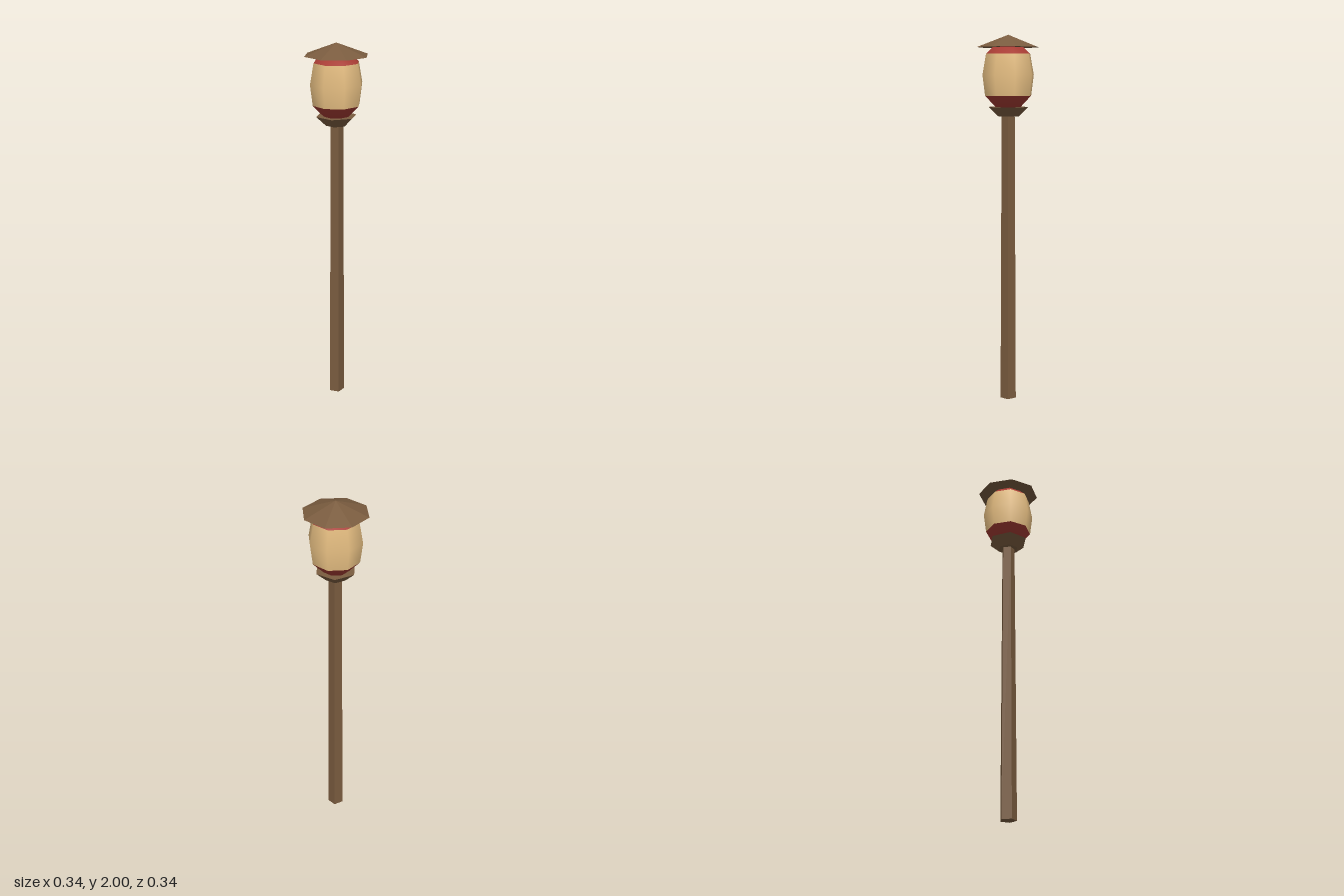
import * as THREE from 'three';

const wood = new THREE.MeshStandardMaterial({ color: 0x7a5c3f, flatShading: true });
const paper = new THREE.MeshStandardMaterial({ color: 0xe8c083, side: THREE.DoubleSide });
const red = new THREE.MeshStandardMaterial({ color: 0xa83c34, side: THREE.DoubleSide });

export function createModel() {
  const group = new THREE.Group();
  const add = (name, geometry, material, y = 0) => {
    const mesh = new THREE.Mesh(geometry, material);
    mesh.name = name;
    mesh.position.y = y;
    group.add(mesh);
    return mesh;
  };
  // frustum standing between two heights
  const frustum = (name, rTop, rBottom, y0, y1, sides) =>
    add(name, new THREE.CylinderGeometry(rTop, rBottom, y1 - y0, sides), wood, (y0 + y1) / 2);
  // smooth eight-sided band turned from [radius, height] pairs
  const band = (name, profile, material) =>
    add(name, new THREE.LatheGeometry(profile.map(([r, y]) => new THREE.Vector2(r, y)), 8), material);

  // five-sided tapering post
  frustum('post', 0.037, 0.045, 0, 1.58, 5);

  // six-sided cup with its corners on the x axis
  frustum('lanternCup', 0.11, 0.057, 1.57, 1.62, 6).rotation.y = Math.PI / 6;

  // lantern body with red ends
  band('lowerBand', [[0, 1.612], [0.062, 1.612], [0.128, 1.68]], red);
  band('lanternBody', [[0.128, 1.68], [0.142, 1.79], [0.122, 1.9]], paper);
  band('upperBand', [[0.122, 1.9], [0.08, 1.94], [0, 1.945]], red);

  // pointed eight-sided roof
  add('roof', new THREE.ConeGeometry(0.171, 0.065, 8), wood, 1.9675);

  return group;
}
